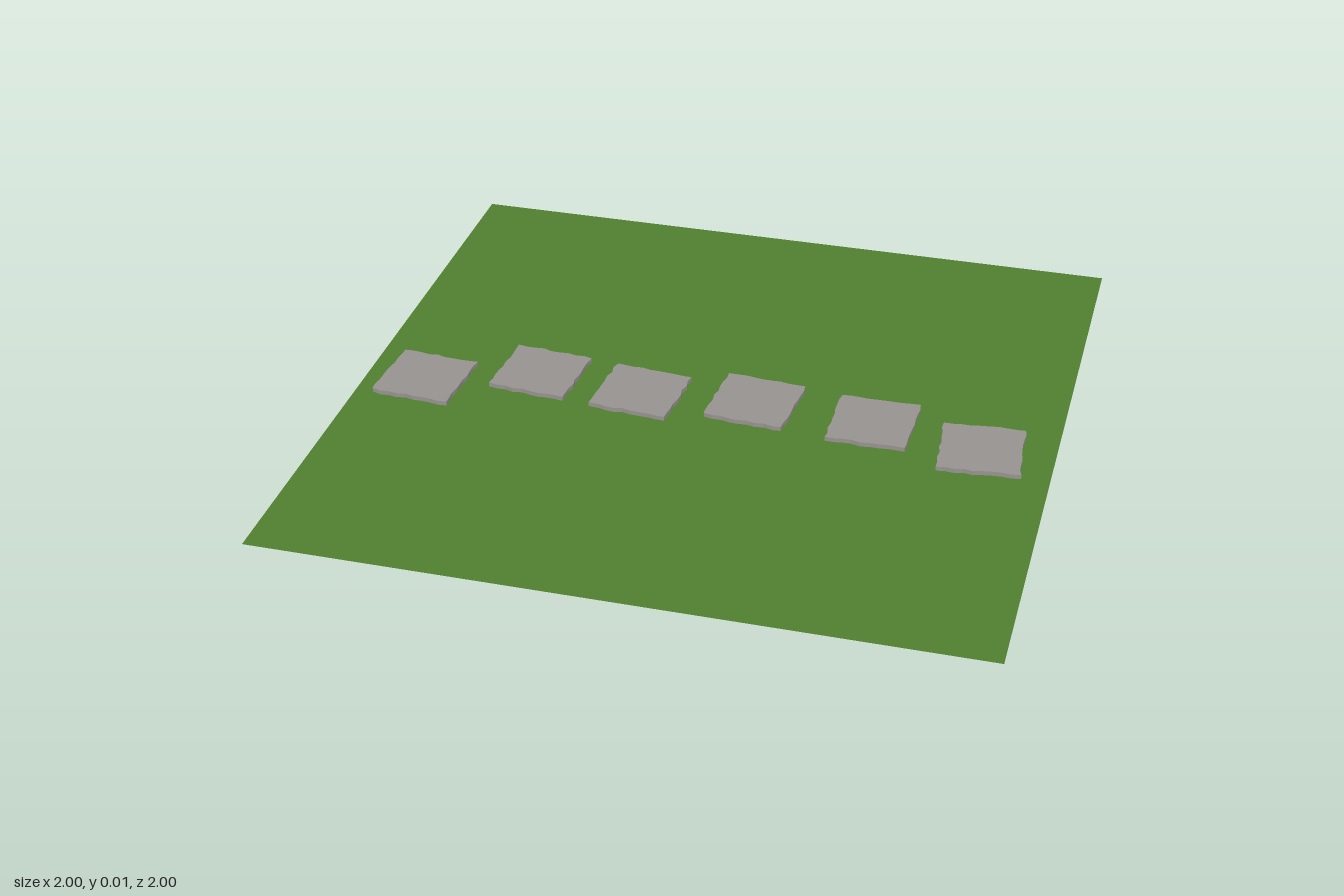
import * as THREE from 'three';

const SIZE = 0.23, HEIGHT = 0.013, STEPS = 9;

// Small seeded generator for the chipped slab edges
function seeded(seed) {
  let s = seed * 7919 + 17;
  return () => (s = (s * 16807) % 2147483647) / 2147483647;
}

// Square slab with slightly rough edges, lying flat with its base at y = 0
function slabGeometry(seed) {
  const random = seeded(seed);
  const half = SIZE / 2;
  const points = [];
  for (let side = 0; side < 4; side++) {
    const angle = side * Math.PI / 2;
    for (let i = 0; i < STEPS; i++) {
      const along = -half + SIZE * i / STEPS;
      const out = half + (random() - 0.5) * 0.008;
      points.push(new THREE.Vector2(along, -out).rotateAround(new THREE.Vector2(), angle));
    }
  }
  const geometry = new THREE.ExtrudeGeometry(new THREE.Shape(points), { depth: HEIGHT, bevelEnabled: false });
  return geometry.rotateX(-Math.PI / 2);
}

export function createModel() {
  const model = new THREE.Group();
  model.name = 'gardenPath';

  const grass = new THREE.MeshStandardMaterial({ color: 0x4f7f2f, side: THREE.DoubleSide });
  grass.name = 'grass green';
  const stone = new THREE.MeshStandardMaterial({ color: 0x969290 });
  stone.name = 'stone grey';

  // Flat lawn
  const lawn = new THREE.Mesh(new THREE.PlaneGeometry(2, 2).rotateX(-Math.PI / 2), grass);
  lawn.name = 'lawn';
  model.add(lawn);

  // Stepping stones: x, z, turn
  const stones = [
    [-0.825, 0.10, -0.065],
    [-0.51, -0.01, -0.085],
    [-0.20, 0.02, -0.085],
    [0.13, -0.01, -0.075],
    [0.478, 0.017, 0.005],
    [0.795, 0.08, 0.075],
  ];
  stones.forEach(([x, z, turn], i) => {
    const slab = new THREE.Mesh(slabGeometry(i + 1), stone);
    slab.name = `steppingStone${i + 1}`;
    slab.position.set(x, 0.001, z);
    slab.rotation.y = turn;
    model.add(slab);
  });

  return model;
}
